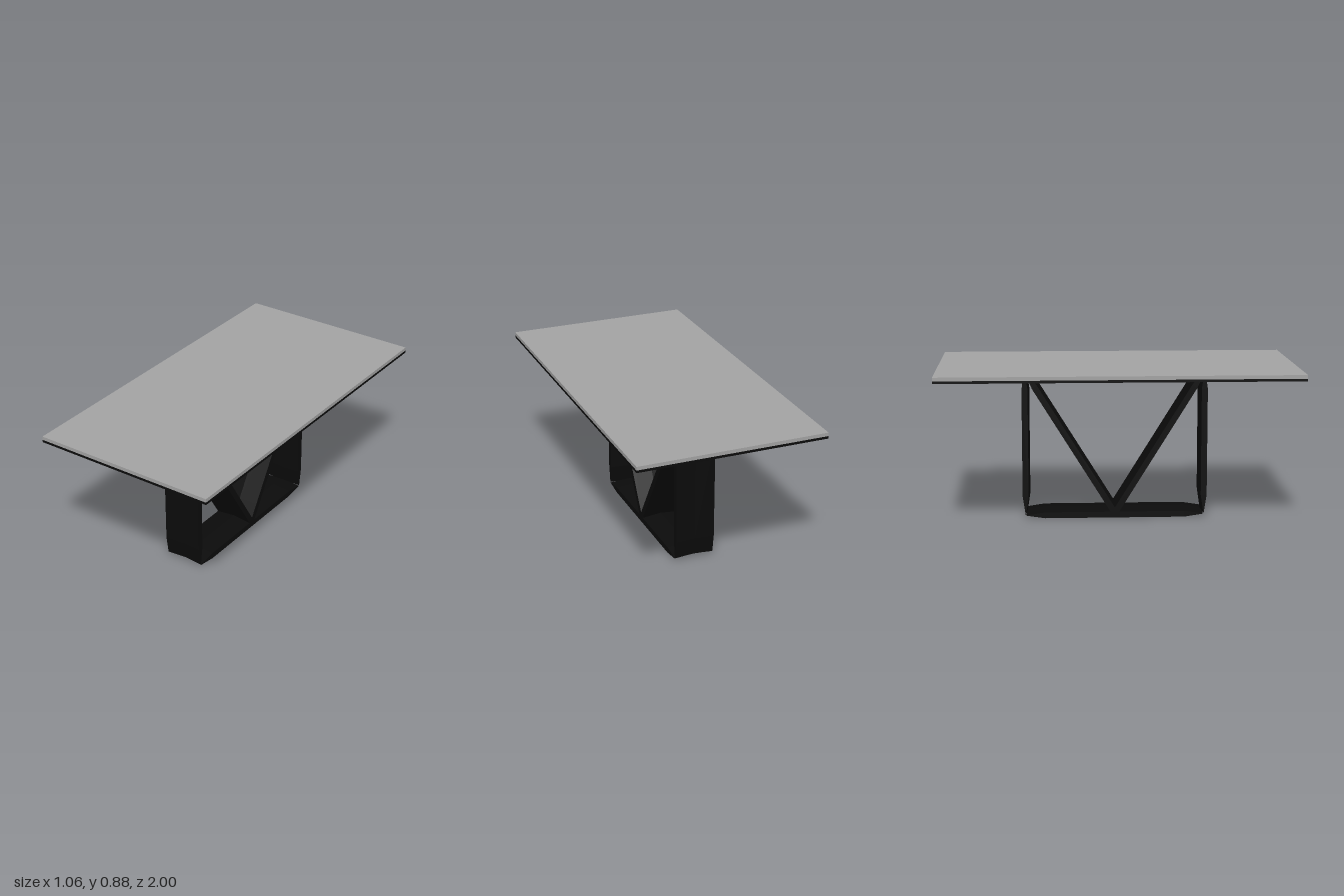
import * as THREE from 'three';

const black = new THREE.MeshStandardMaterial({ color: 0x0b0b0b, flatShading: true });
black.name = 'black';
const grey = new THREE.MeshStandardMaterial({ color: 0xa2a2a2 });
grey.name = 'grey';

const WIDTH = 0.225, THICK = 0.034, TAPER = 0.105, BOW = 0.009, TIP = 0.06;
const MID_X = 0.0075, MID_Z = -0.0125, HALF = 0.5025, LOW = 0.0215, HIGH = 0.845;

// Wide plank between two [z, y] points: slightly folded along its middle, with knife-edge ends
function plank(name, [z0, y0], [z1, y1], sharpStart = true, sharpEnd = true) {
  const dz = z1 - z0, dy = y1 - y0, length = Math.hypot(dz, dy);
  const geo = new THREE.BoxGeometry(WIDTH, THICK, length, 2, 1, 3);
  const p = geo.attributes.position;
  for (let i = 0; i < p.count; i++) {
    const z = p.getZ(i), end = Math.abs(z) > length / 2 - 0.001;
    const sharp = end && (z < 0 ? sharpStart : sharpEnd);
    const fold = Math.abs(p.getX(i)) < 0.01 ? BOW / 2 : -BOW / 2;
    p.setY(i, p.getY(i) * (sharp ? TIP : 1) + fold);
    if (!end) p.setZ(i, Math.sign(z) * (length / 2 - TAPER));
  }
  geo.computeVertexNormals();
  const mesh = new THREE.Mesh(geo, black);
  mesh.name = name;
  mesh.position.set(MID_X, (y0 + y1) / 2, (z0 + z1) / 2);
  mesh.rotation.x = Math.atan2(-dy, dz);
  return mesh;
}

function slab(name, bottom, top, material) {
  const mesh = new THREE.Mesh(new THREE.BoxGeometry(1.062, top - bottom, 2), material);
  mesh.name = name;
  mesh.position.y = (top + bottom) / 2;
  return mesh;
}

export function createModel() {
  const table = new THREE.Group();
  table.name = 'table';

  // Two-layer top
  table.add(slab('tableTop', 0.855, 0.875, grey), slab('topUnderlay', 0.841, 0.855, black));

  // Rectangular frame, each plank folded towards the inside
  const front = MID_Z + HALF, back = MID_Z - HALF;
  const base = new THREE.Group();
  base.name = 'base';
  base.add(
    plank('bottomRail', [back, LOW], [front, LOW]),
    plank('frontPost', [front, LOW], [front, HIGH]),
    plank('topRail', [front, HIGH], [back, HIGH]),
    plank('backPost', [back, HIGH], [back, LOW]),
  );

  // V-shaped braces meeting on the bottom rail
  base.add(
    plank('frontBrace', [MID_Z, 0.035], [front, HIGH], false, true),
    plank('backBrace', [back, HIGH], [MID_Z, 0.035], true, false),
  );
  table.add(base);
  return table;
}
